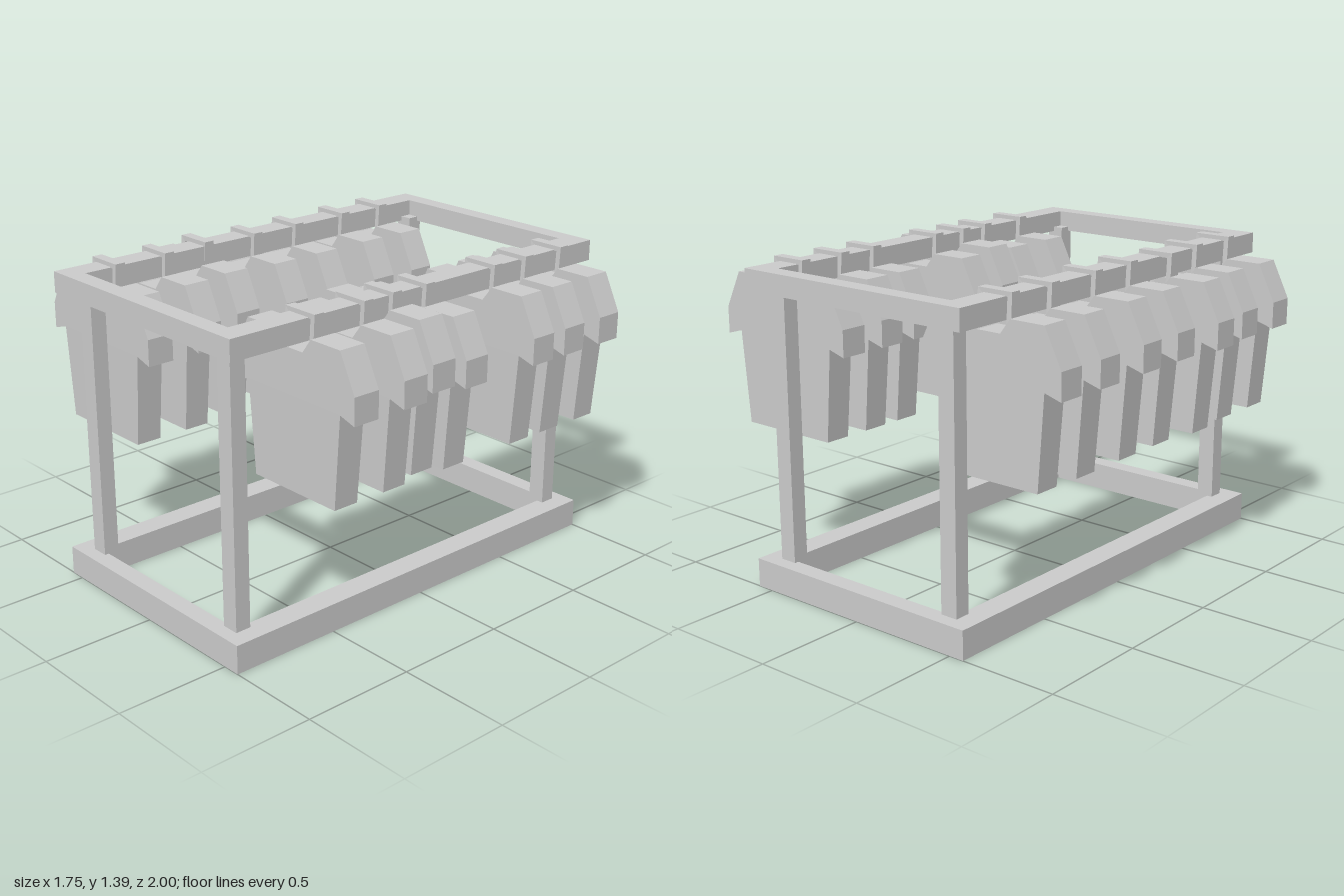
import * as THREE from 'three';

const material = new THREE.MeshStandardMaterial({ color: 0xcccccc, flatShading: true, side: THREE.DoubleSide });

function add(parent, geometry, name) {
  const mesh = new THREE.Mesh(geometry, material);
  mesh.name = name;
  parent.add(mesh);
  return mesh;
}

// Closed outline extruded along z and centred on z = 0
function extrude(points, depth, hole) {
  const shape = new THREE.Shape(points.map(p => new THREE.Vector2(...p)));
  if (hole) shape.holes.push(new THREE.Path(hole.map(p => new THREE.Vector2(...p))));
  return new THREE.ExtrudeGeometry(shape, { depth, bevelEnabled: false }).translate(0, 0, -depth / 2);
}

const rect = (w, h) => [[-w, -h], [w, -h], [w, h], [-w, h]];
const mirrored = half => [...half, ...half.map(([x, y]) => [-x, y]).reverse()];

// Rectangular ring of beams lying flat
function ringGeometry(y0, y1) {
  return extrude(rect(0.573, 1), y1 - y0, rect(0.463, 0.92))
    .rotateX(-Math.PI / 2)
    .translate(0.005, (y0 + y1) / 2, 0);
}

// Short-sleeved shirt, slightly thinner towards the hem
function shirtGeometry() {
  const half = [
    [0.233, 0.647], [0.265, 1.045], [0.343, 1.022], [0.343, 1.137],
    [0.264, 1.297], [0.103, 1.297], [0.056, 1.235],
  ];
  const geometry = extrude(mirrored(half), 0.121);
  const pos = geometry.attributes.position;
  for (let i = 0; i < pos.count; i++) {
    if (pos.getY(i) < 0.9) pos.setZ(i, pos.getZ(i) * 0.95);
  }
  geometry.computeVertexNormals();
  return geometry;
}

// Strap folded over the rail, flaring towards its lower ends
function hookGeometry() {
  const half = [[0.06, 1.22], [0.083, 1.22], [0.083, 1.388]];
  const outline = [...mirrored(half), [-0.06, 1.366], [0.06, 1.366]];
  const geometry = extrude(outline, 0.046);
  const pos = geometry.attributes.position;
  for (let i = 0; i < pos.count; i++) {
    if (pos.getY(i) < 1.3) pos.setZ(i, pos.getZ(i) * 1.4);
  }
  geometry.computeVertexNormals();
  return geometry;
}

export function createModel() {
  const model = new THREE.Group();
  model.name = 'clothesRack';

  // Frame
  add(model, ringGeometry(0, 0.125), 'baseFrame');
  add(model, ringGeometry(1.28, 1.37), 'topFrame');
  const postGeometry = new THREE.BoxGeometry(0.078, 1.2, 0.07);
  for (const x of [-0.444, 0.459]) {
    for (const z of [-0.904, 0.904]) {
      add(model, postGeometry, 'post').position.set(x, 0.7, z);
    }
  }

  // Hanging shirts: [z, x shift, y shift] along each rail
  const shirt = shirtGeometry();
  const hook = hookGeometry();
  const rails = [
    { name: 'rightRailShirt', x: -0.512, y: 0, shirts: [
      [-0.715, 0, 0], [-0.484, -0.005, 0], [-0.2, 0, 0], [0.042, 0.004, 0],
      [0.29, -0.026, 0], [0.52, 0, 0], [0.77, 0, 0]] },
    { name: 'leftRailShirt', x: 0.528, y: 0.008, shirts: [
      [-0.785, 0.002, 0], [-0.566, 0, 0], [-0.376, 0, 0], [0.018, 0, 0],
      [0.193, -0.007, 0.024], [0.35, 0, 0], [0.603, 0, 0]] },
  ];
  for (const rail of rails) {
    for (const [z, dx, dy] of rail.shirts) {
      const group = new THREE.Group();
      group.name = rail.name;
      group.position.set(rail.x + dx, 0, z);
      add(group, shirt, 'shirt').position.y = rail.y + dy;
      add(group, hook, 'hook');
      model.add(group);
    }
  }
  return model;
}
